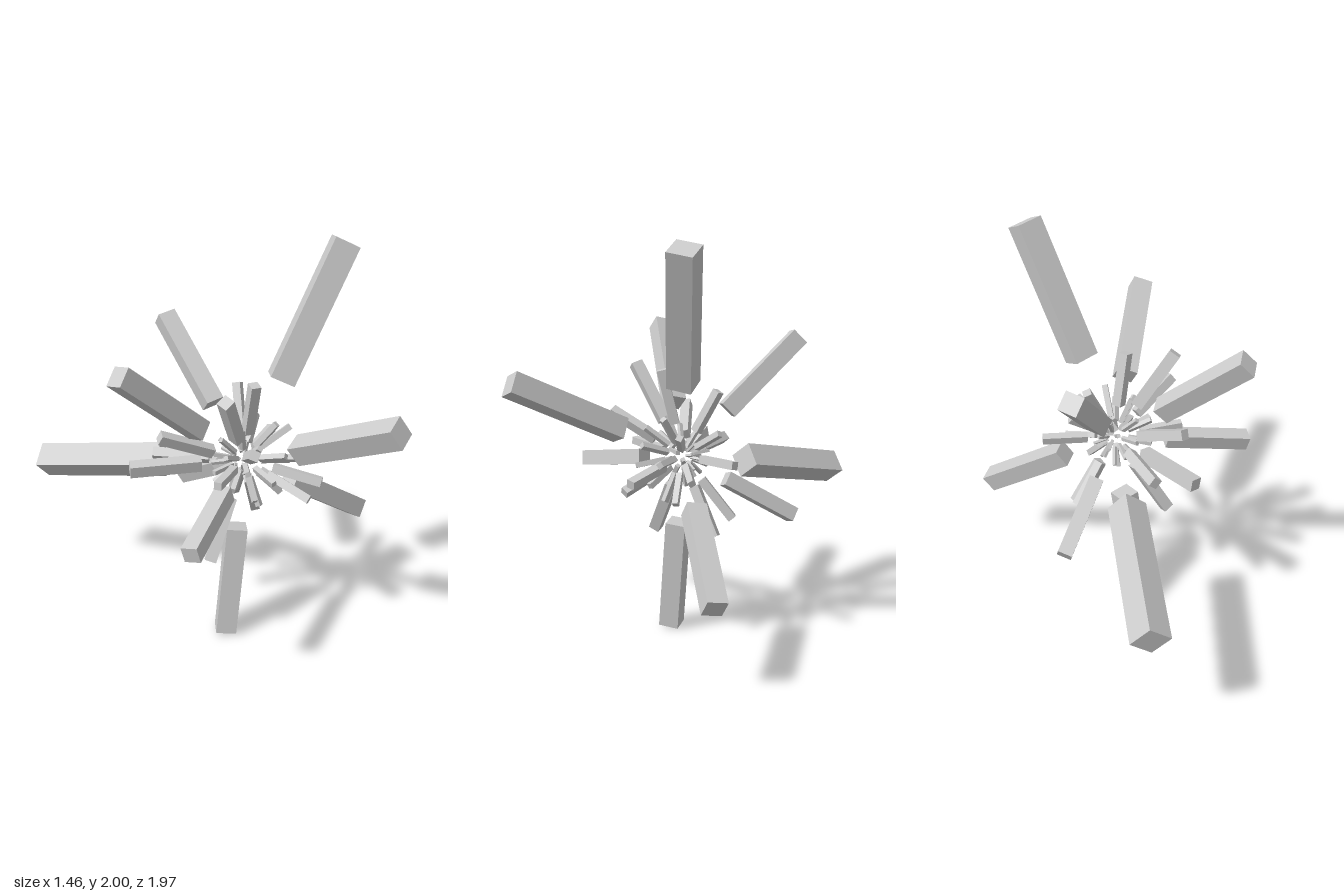
import * as THREE from 'three';

// Burst of square bars radiating from one centre; each bar's size grows with its distance.
const CENTRE = new THREE.Vector3(-0.04, 0.95, 0.1);
const START = 0.38; // inner end as a share of the outer distance
const WIDTH = 0.175; // thickness as a share of the length

// Outer end centres (x, y, z) and roll in degrees
const LARGE = [
  [-0.555, 0.7, -0.945, 39],
  [0.46, 1.97, 0.235, 23],
  [0.1, 1.37, 0.95, -22],
  [-0.182, 0.015, 0.125, 45],
  [0.705, 0.434, 0.177, 11],
  [-0.69, 1.54, 0.03, -18],
  [-0.045, 1.52, -0.51, 12],
  [-0.645, 0.83, 0.46, -10],
];
const MEDIUM = [
  [0.02, 0.61, -0.47, 20],
  [-0.53, 0.955, -0.16, 10],
  [-0.29, 1.385, 0.27, 30],
  [-0.31, 0.51, 0.17, 35],
  [-0.435, 1.14, -0.04, 15],
  [-0.24, 1.16, 0.41, 25],
  [-0.06, 1.38, 0.2, 5],
  [-0.35, 0.96, -0.22, 40],
  [0.05, 1.28, -0.055, 30],
  [0.285, 0.96, -0.06, 10],
  [0.15, 1.09, -0.03, 20],
  [0.18, 0.88, 0.42, 15],
  [0.13, 0.57, -0.01, 25],
  [0.08, 0.64, -0.12, 10],
  [0.09, 0.82, 0.43, 35],
  [-0.34, 0.98, 0.27, 0],
];

const UP = new THREE.Vector3(0, 1, 0);
const material = new THREE.MeshStandardMaterial({ color: 0xcccccc, flatShading: true });

function makeBar(name, tip, rollDegrees) {
  const dir = tip.clone().sub(CENTRE);
  const reach = dir.length();
  dir.normalize();
  const length = reach * (1 - START);
  const bar = new THREE.Mesh(
    new THREE.BoxGeometry(length * WIDTH, length * WIDTH, length), material);
  const side = UP.clone().cross(dir).normalize();
  const top = dir.clone().cross(side);
  bar.quaternion.setFromRotationMatrix(new THREE.Matrix4().makeBasis(side, top, dir));
  bar.rotateZ(-THREE.MathUtils.degToRad(rollDegrees));
  bar.position.copy(CENTRE).addScaledVector(dir, reach * (1 + START) / 2);
  bar.name = name;
  return bar;
}

export function createModel() {
  const model = new THREE.Group();
  model.name = 'barBurst';

  // Outer and middle bars
  for (const [name, list] of [['largeBar', LARGE], ['mediumBar', MEDIUM]]) {
    list.forEach(([x, y, z, roll], i) =>
      model.add(makeBar(name + (i + 1), new THREE.Vector3(x, y, z), roll)));
  }

  // Small bars of the core, spread evenly over the sphere
  const count = 34;
  for (let i = 0; i < count; i++) {
    const h = 1 - (2 * (i + 0.5)) / count;
    const a = i * 2.39996;
    const ring = Math.sqrt(1 - h * h);
    const reach = 0.09 + 0.2 * ((i * 0.618) % 1);
    const tip = new THREE.Vector3(Math.cos(a) * ring, h, Math.sin(a) * ring)
      .multiplyScalar(reach).add(CENTRE);
    model.add(makeBar('smallBar' + (i + 1), tip, (i * 37) % 90));
  }
  return model;
}
